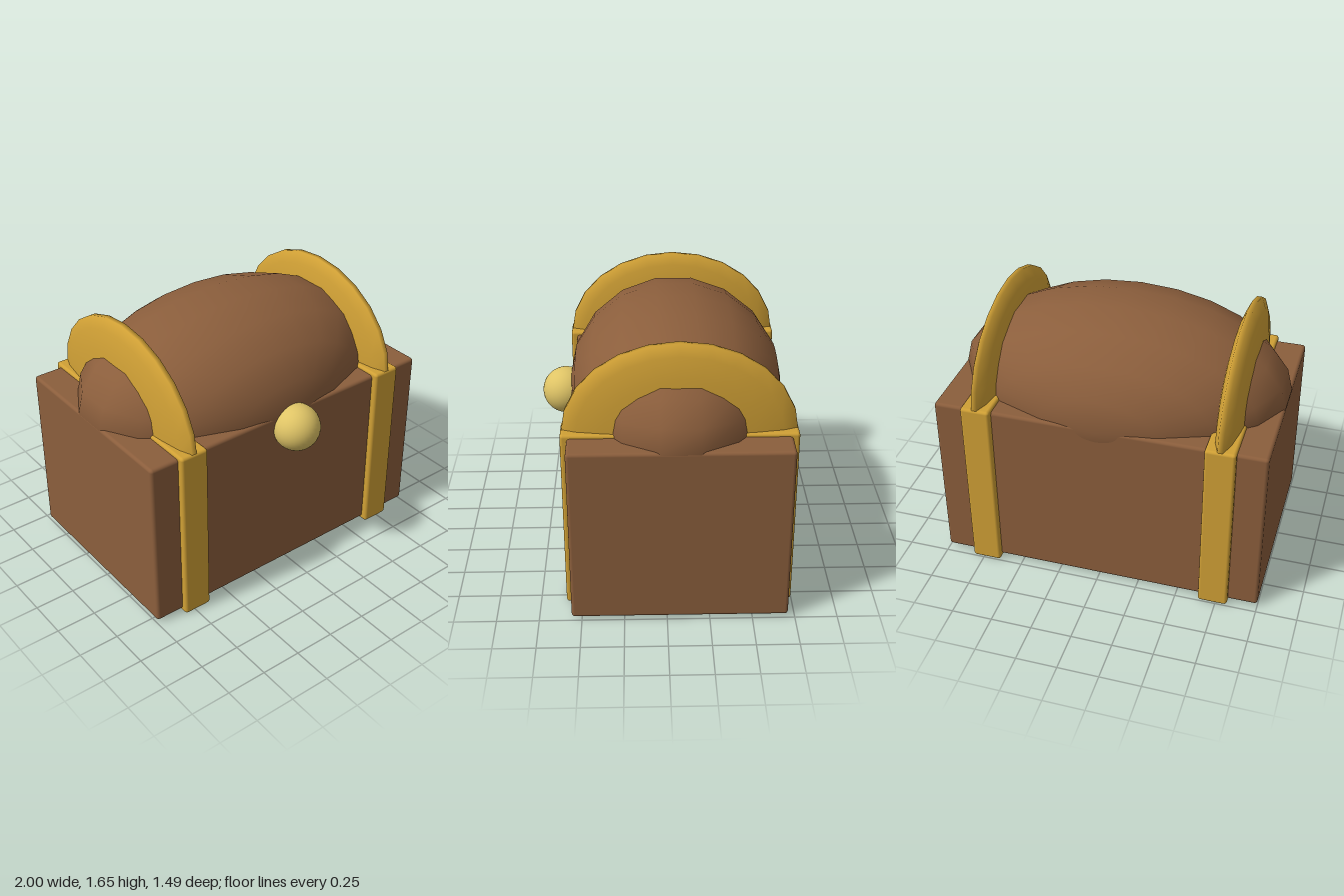
import * as THREE from 'three';
import { RoundedBoxGeometry } from 'three/addons/geometries/RoundedBoxGeometry.js';

const MID_Z = -0.075; // centre of chest depth
const RIM_Y = 1.1; // height where the lid meets the body

export function createModel() {
  const wood = new THREE.MeshStandardMaterial({ name: 'brown wood', color: 0x8b5e3c });
  const gold = new THREE.MeshStandardMaterial({ name: 'gold metal', color: 0xd0a035 });
  const paleGold = new THREE.MeshStandardMaterial({ name: 'pale gold', color: 0xdfc466 });

  const group = new THREE.Group();
  group.name = 'treasureChest';

  const add = (name, geometry, material, x, y, z) => {
    const mesh = new THREE.Mesh(geometry, material);
    mesh.name = name;
    mesh.position.set(x, y, z);
    group.add(mesh);
    return mesh;
  };

  // Chest body with softly rounded edges
  add('body', new RoundedBoxGeometry(2, 1.09, 1.27, 2, 0.02), wood, 0, 0.565, MID_Z);

  // Domed lid: stretched sphere with its poles at the front and back
  const lid = new THREE.SphereGeometry(1, 24, 9).rotateX(Math.PI / 2).scale(1.015, 0.54, 0.65);
  add('lid', lid, wood, 0, RIM_Y, MID_Z);

  // Metal straps around the body and lens-shaped hoops over the lid
  for (const [side, s] of [['left', 1], ['right', -1]]) {
    add(side + 'Strap', new RoundedBoxGeometry(0.18, 1.13, 1.345, 2, 0.018), gold, s * 0.73, 0.565, MID_Z);
    const hoop = new THREE.SphereGeometry(1, 24, 9).rotateZ(Math.PI / 2).scale(0.093, 0.558, 0.68);
    add(side + 'Hoop', hoop, gold, s * 0.73, RIM_Y, MID_Z);
  }

  // Round clasp on the front
  add('clasp', new THREE.SphereGeometry(0.143, 32, 24), paleGold, 0, 1.02, 0.602);

  return group;
}
